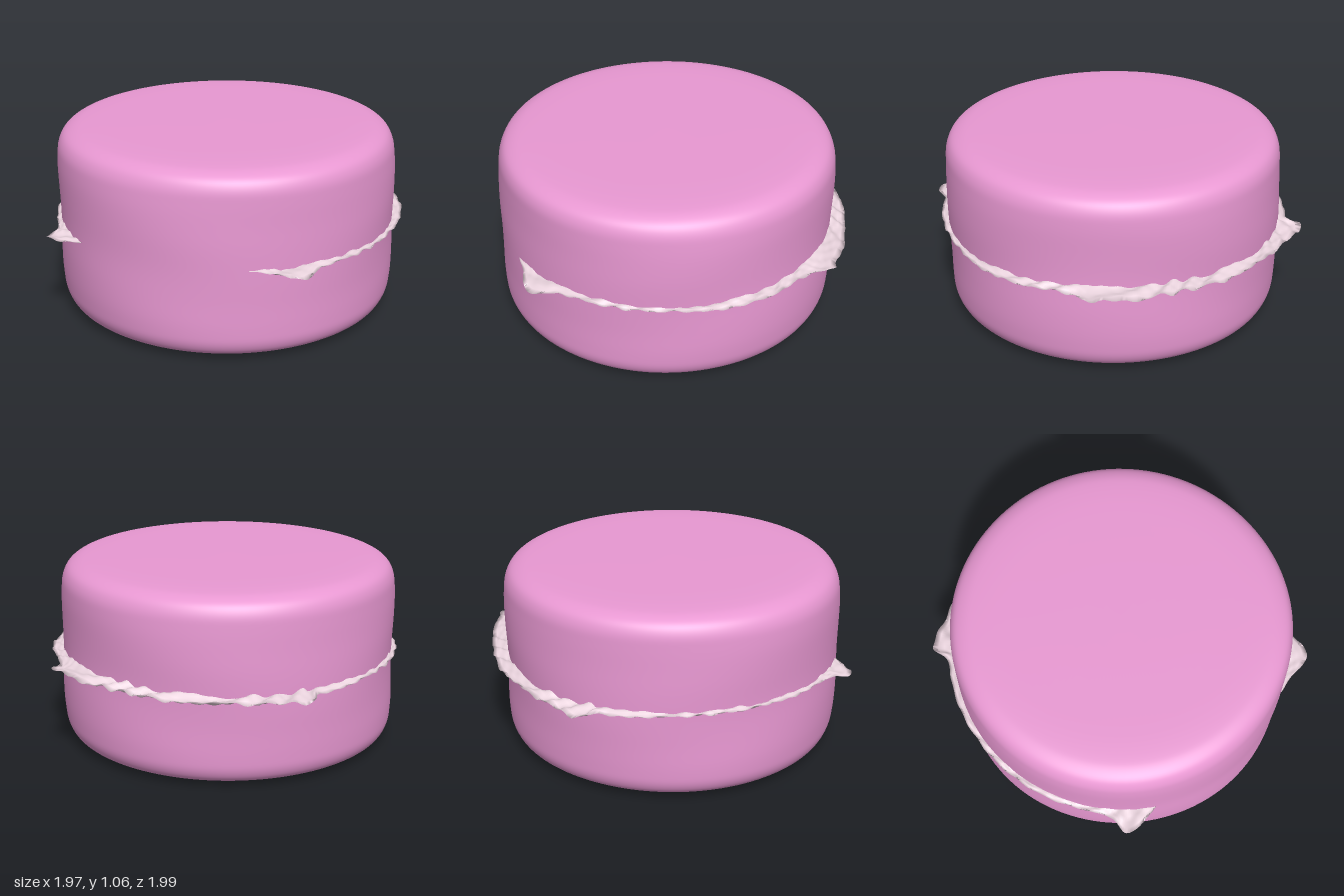
import * as THREE from 'three';

const CX = -0.005, CZ = 0.035; // drum axis
const pink = new THREE.MeshStandardMaterial({ color: 0xe898d2 });
const pale = new THREE.MeshStandardMaterial({ color: 0xead4de, side: THREE.DoubleSide });

// Soft drum: rounded lathe with faint fabric wrinkles
function makeDrum() {
  const half = [[0, 0.53], [0.5, 0.528], [0.78, 0.522], [0.86, 0.51], [0.915, 0.48],
    [0.943, 0.43], [0.953, 0.35], [0.956, 0.18], [0.955, 0]];
  const lower = half.map(([r, y]) => new THREE.Vector3(r, 0.53 - y, 0));
  const upper = half.slice(0, -1).reverse().map(([r, y]) => new THREE.Vector3(r, 0.53 + y, 0));
  const profile = new THREE.CatmullRomCurve3([...lower, ...upper], false, 'centripetal')
    .getPoints(80).map(p => new THREE.Vector2(Math.max(p.x, 0), p.y));
  const geo = new THREE.LatheGeometry(profile, 128);
  const pos = geo.attributes.position;
  for (let i = 0; i < pos.count; i++) {
    const x = pos.getX(i), y = pos.getY(i), z = pos.getZ(i);
    const r = Math.hypot(x, z), a = Math.atan2(x, z);
    const side = THREE.MathUtils.smoothstep(r, 0.8, 0.95);
    const k = 1 + 0.003 * side * (Math.sin(11 * y + 2 * Math.sin(2 * a)) + Math.sin(3 * a + 5 * y));
    pos.setXYZ(i, x * k, y, z * k);
  }
  geo.computeVertexNormals();
  // weld the lathe seam's normals
  const n = geo.attributes.normal, rows = profile.length;
  for (let j = 0; j < rows; j++) {
    const e = 128 * rows + j;
    const v = new THREE.Vector3().fromBufferAttribute(n, j)
      .add(new THREE.Vector3().fromBufferAttribute(n, e)).normalize();
    n.setXYZ(j, v.x, v.y, v.z);
    n.setXYZ(e, v.x, v.y, v.z);
  }
  const mesh = new THREE.Mesh(geo, pink);
  mesh.position.set(CX, 0, CZ);
  mesh.name = 'drumBody';
  return mesh;
}

// Crumpled frill: wedge section swept round the drum, open at the front
function makeFrill() {
  const rim = [[0.41, 0.89], [0.55, 0.87], [0.71, 0.855], [0.74, 0.80], [0.755, 0.70], [0.85, 0.55],
    [0.93, 0.35], [0.975, 0.12], [0.985, -0.08], [0.95, -0.3], [0.89, -0.45], [0.78, -0.6],
    [0.72, -0.7], [0.71, -0.82], [0.65, -0.83], [0.55, -0.89], [0.38, -0.94], [0.15, -0.985],
    [0, -0.995], [-0.2, -0.975], [-0.38, -0.925], [-0.56, -0.85], [-0.76, -0.76], [-0.75, -0.66],
    [-0.86, -0.48], [-0.93, -0.32], [-0.97, -0.15], [-0.985, 0], [-0.965, 0.22], [-0.91, 0.4],
    [-0.82, 0.58], [-0.765, 0.69], [-0.775, 0.80], [-0.70, 0.83], [-0.54, 0.82]];
  const curve = new THREE.CatmullRomCurve3(
    rim.map(([x, z]) => new THREE.Vector3(x, 0, z)), false, 'centripetal');
  const N = 420, K = 5, ring = 2 * K + 1;
  const verts = [], idx = [];
  for (let i = 0; i <= N; i++) {
    const t = i / N, p = curve.getPointAt(t);
    const dx = p.x - CX, dz = p.z - CZ, r = Math.hypot(dx, dz);
    const back = THREE.MathUtils.smoothstep(-p.z, 0.2, 0.9);
    const taper = Math.min(1, t * 30, (1 - t) * 30);
    const mid = 0.528 + 0.007 * Math.sin(17 * t + 1) - 0.015 * Math.exp(-(((t - 0.06) / 0.03) ** 2));
    for (let j = 0; j < ring; j++) {
      const s = j <= K ? j / K : (2 * K - j) / K; // 0 inner edge, 1 rim
      const layer = j <= K ? 1 : -1;
      const rad = THREE.MathUtils.lerp(0.93, r, s) + 0.003 * s * Math.sin(210 * t);
      const fold = (0.005 + 0.006 * back) * Math.sin(150 * t + 6 * s + 3 * Math.sin(40 * t))
        + 0.004 * Math.sin(330 * t - 9 * s);
      const thick = layer * (1 - s) * (0.011 + 0.006 * back + 0.005 * Math.sin(95 * t + layer));
      verts.push(CX + dx / r * rad, mid + taper * (fold + thick), CZ + dz / r * rad);
      if (i < N && j < ring - 1) {
        const a = i * ring + j, b = a + ring;
        idx.push(a, a + 1, b, a + 1, b + 1, b);
      }
    }
  }
  const geo = new THREE.BufferGeometry();
  geo.setAttribute('position', new THREE.Float32BufferAttribute(verts, 3));
  geo.setIndex(idx);
  geo.computeVertexNormals();
  const mesh = new THREE.Mesh(geo, pale);
  mesh.name = 'crumpledFrill';
  return mesh;
}

export function createModel() {
  const model = new THREE.Group();
  model.name = 'frilledDrum';
  model.add(makeDrum(), makeFrill());
  return model;
}
